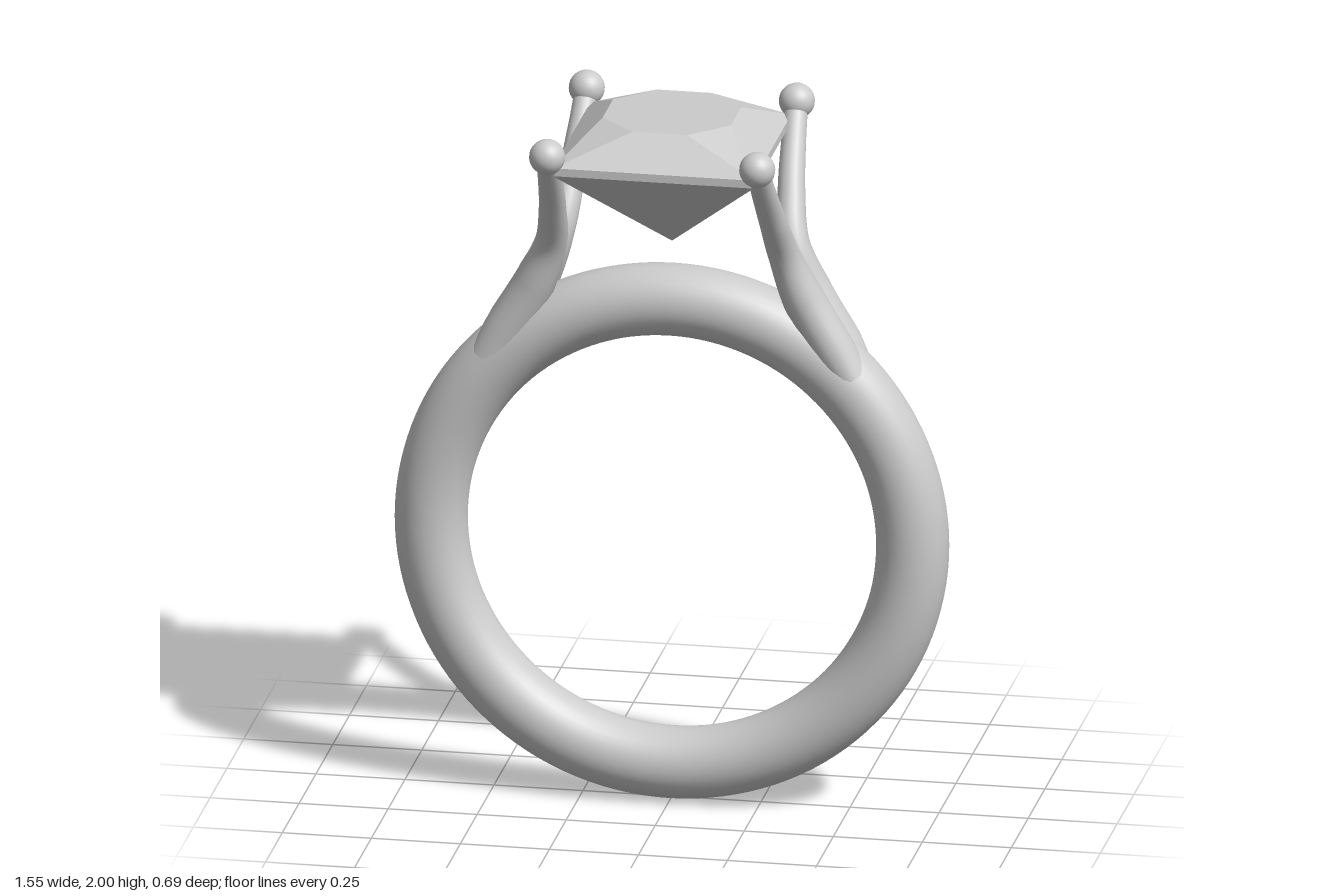
import * as THREE from 'three';

const silver = new THREE.MeshStandardMaterial({ color: 0xcccccc });
silver.name = 'silver';

function add(group, name, geometry) {
  const mesh = new THREE.Mesh(geometry, silver);
  mesh.name = name;
  group.add(mesh);
  return mesh;
}

// Tube whose radius follows the w value of each [x, y, z, radius] point
function taperedTube(points, sx, sz) {
  const curve = new THREE.CatmullRomCurve3(points.map(([x, y, z]) => new THREE.Vector3(x * sx, y, z * sz)));
  const rows = 40, sides = 20;
  const geo = new THREE.TubeGeometry(curve, rows, 1, sides);
  const pos = geo.attributes.position, v = new THREE.Vector3();
  for (let i = 0; i <= rows; i++) {
    const centre = curve.getPointAt(i / rows);
    const t = curve.getUtoTmapping(i / rows) * (points.length - 1);
    const k = Math.min(Math.floor(t), points.length - 2);
    const radius = THREE.MathUtils.lerp(points[k][3], points[k + 1][3], t - k);
    for (let j = 0; j <= sides; j++) {
      const n = i * (sides + 1) + j;
      v.fromBufferAttribute(pos, n).sub(centre).multiplyScalar(radius).add(centre);
      pos.setXYZ(n, v.x, v.y, v.z);
    }
  }
  return geo;
}

// Square-cut stone: octagonal table, bevelled crown, thin girdle, pyramid pavilion
function stoneGeometry() {
  const tris = [];
  const face = (...p) => {
    for (let i = 1; i < p.length - 1; i++) tris.push(...p[0], ...p[i], ...p[i + 1]);
  };
  const g = 0.282, t = 0.18, c = 0.077;
  const top = 2, upper = 1.915, lower = 1.892, culet = 1.625;
  for (let q = 0; q < 4; q++) {
    const cos = Math.round(Math.cos(q * Math.PI / 2)), sin = Math.round(Math.sin(q * Math.PI / 2));
    const at = (x, y, z) => [x * cos + z * sin, y, z * cos - x * sin];
    const a = at(-c, top, t), b = at(c, top, t), d = at(t, top, c);
    const ul = at(-g, upper, g), ur = at(g, upper, g);
    const ll = at(-g, lower, g), lr = at(g, lower, g);
    face([0, top, 0], a, b, d);
    face(ul, ur, b, a);
    face(ur, d, b);
    face(ll, lr, ur, ul);
    face([0, culet, 0], lr, ll);
  }
  const geo = new THREE.BufferGeometry();
  geo.setAttribute('position', new THREE.Float32BufferAttribute(tris, 3));
  geo.computeVertexNormals();
  return geo;
}

export function createModel() {
  const ring = new THREE.Group();
  ring.name = 'ring';

  // Band
  add(ring, 'band', new THREE.TorusGeometry(0.676, 0.101, 32, 128)).position.y = 0.778;

  // Four prongs, paired into a Y on each shoulder, each with a ball tip
  const prong = [
    [0.508, 1.27, 0.043, 0.05],
    [0.465, 1.345, 0.043, 0.06],
    [0.378, 1.495, 0.046, 0.059],
    [0.329, 1.62, 0.062, 0.045],
    [0.309, 1.75, 0.14, 0.038],
    [0.299, 1.87, 0.23, 0.034],
    [0.295, 1.95, 0.293, 0.032],
  ];
  for (const sx of [-1, 1]) {
    for (const sz of [-1, 1]) {
      const label = (sz > 0 ? 'front' : 'back') + (sx > 0 ? 'Left' : 'Right');
      add(ring, label + 'Prong', taperedTube(prong, sx, sz));
      add(ring, label + 'ProngTip', new THREE.SphereGeometry(0.05, 24, 16)).position.set(sx * 0.295, 1.952, sz * 0.295);
    }
  }

  // Stone
  add(ring, 'stone', stoneGeometry());
  return ring;
}
